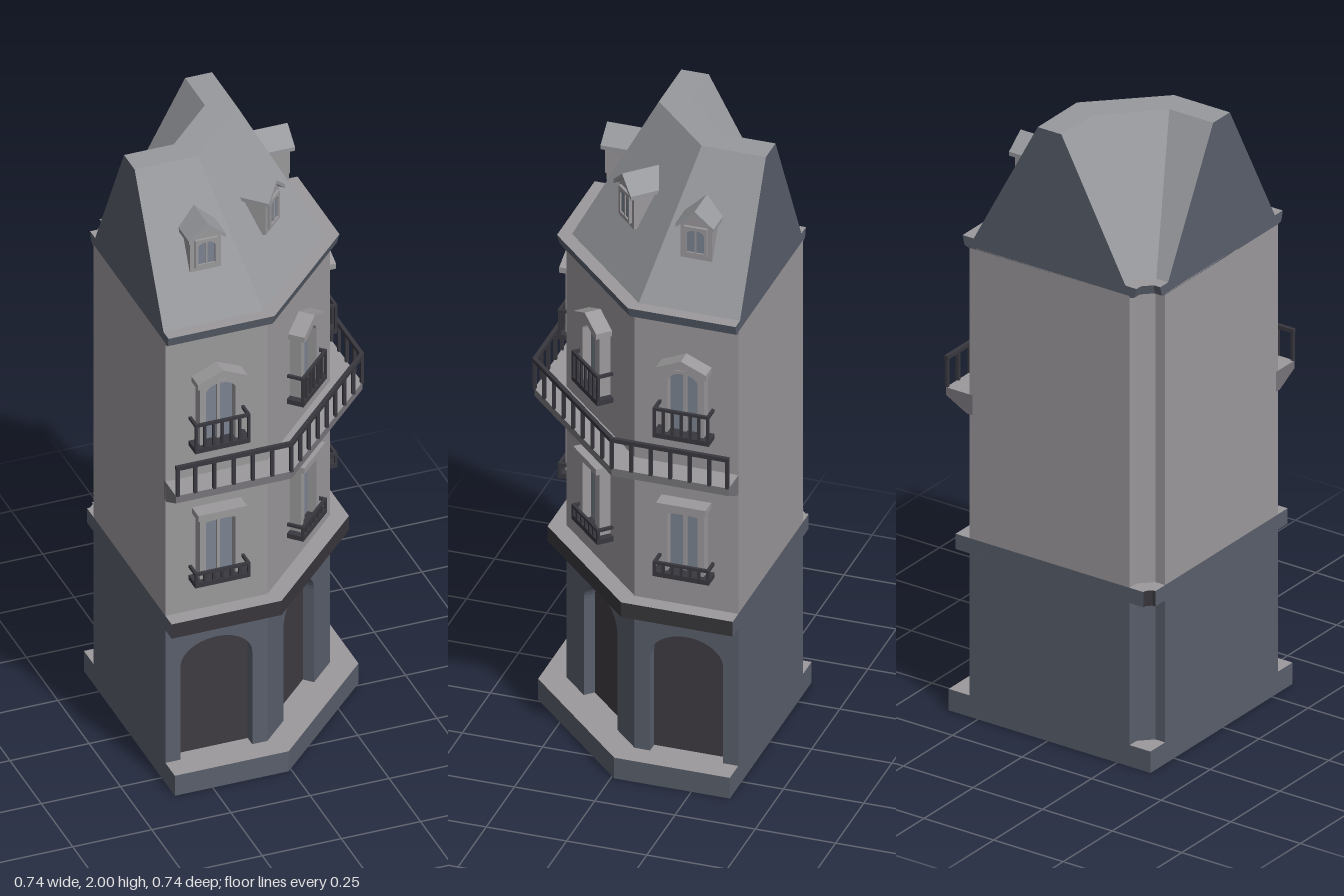
import * as THREE from 'three';

const mat = (name, color) => {
  const m = new THREE.MeshStandardMaterial({ color });
  m.name = name;
  m.flatShading = true;
  return m;
};

const BACK = -0.37; // plane of the two plain party walls
const corner = (a) => Math.max(BACK, -0.1875 + 0.5 * a);

// The four plan points of the line lying at distance a from the centre
const stations = (a) => [[BACK, a], [corner(a), a], [a, corner(a)], [a, BACK]];

export function createModel() {
  const wall = mat('wall stone', 0x9b999b);
  const roofing = mat('roof grey', 0x97999d);
  const slate = mat('slate blue', 0x595f6b);
  const dark = mat('dark ledge', 0x38363b);
  const doorMat = mat('door charcoal', 0x3f3c41);
  const glass = mat('window blue', 0x7b8391);
  const iron = mat('railing iron', 0x38383f);
  const balconyStone = mat('balcony stone', 0x77757a);

  const model = new THREE.Group();
  const add = (parent, name, geometry, material, x = 0, y = 0, z = 0) => {
    const mesh = new THREE.Mesh(geometry, material);
    mesh.name = name;
    mesh.position.set(x, y, z);
    parent.add(mesh);
    return mesh;
  };
  const box = (parent, name, material, w, h, d, x, y, z) =>
    add(parent, name, new THREE.BoxGeometry(w, h, d), material, x, y, z);

  // Sweep a profile of [distance, height] around the bent plan.
  // Order: outer bottom, outer top, inner top, inner bottom.
  function sweep(name, profile, side, cap = side, top = side) {
    const pos = [];
    const geo = new THREE.BufferGeometry();
    const P = (i, k) => {
      const [a, y] = profile[i % profile.length];
      const [x, z] = stations(a)[k];
      return [x, y, z];
    };
    const group = (start, index) => geo.addGroup(start, pos.length / 3 - start, index);
    for (let i = 0; i < profile.length; i++) {
      const [a0, y0] = profile[i], [a1, y1] = profile[(i + 1) % profile.length];
      const start = pos.length / 3;
      for (let k = 0; k < 3; k++) {
        const [A, B, C, D] = [P(i, k), P(i, k + 1), P(i + 1, k + 1), P(i + 1, k)];
        pos.push(...A, ...B, ...C, ...A, ...C, ...D);
      }
      group(start, y0 === y1 && a1 < a0 ? 2 : 0);
    }
    const start = pos.length / 3;
    for (let i = 1; i < profile.length - 1; i++) {
      pos.push(...P(0, 0), ...P(i, 0), ...P(i + 1, 0));
      pos.push(...P(0, 3), ...P(i + 1, 3), ...P(i, 3));
    }
    group(start, 1);
    geo.setAttribute('position', new THREE.Float32BufferAttribute(pos, 3));
    geo.computeVertexNormals();
    return add(model, name, geo, [side, cap, top]);
  }
  const band = (o, i, y0, y1) => [[o, y0], [o, y1], [i, y1], [i, y0]];

  // Main storeys, ledges and roof
  sweep('plinth', band(0.355, -0.37, 0, 0.07), slate, slate, wall);
  sweep('groundFloorCore', band(0.24, -0.295, 0.07, 0.535), slate);
  sweep('ledge', band(0.33, -0.345, 0.535, 0.585), dark, slate, wall);
  sweep('upperWalls', band(0.28, -0.295, 0.585, 1.54), wall);
  sweep('cornice', [[0.285, 1.535], [0.298, 1.54], [0.305, 1.57],
    [-0.32, 1.57], [-0.313, 1.54], [-0.3, 1.535]], slate, slate, wall);
  sweep('mansardRoof', [[0.265, 1.57], [0.035, 2], [-0.05, 2], [-0.28, 1.57]], roofing, slate, roofing);

  // Long balcony with its railing
  sweep('balconySlab', [[0.29, 0.99], [0.365, 1.03], [0.365, 1.055], [0.27, 1.055], [0.27, 0.99]],
    balconyStone, balconyStone, wall);
  sweep('balconyHandrail', band(0.37, 0.358, 1.145, 1.158), iron);
  const line = stations(0.364);
  [6, 8, 6].forEach((n, s) => {
    for (let i = s ? 1 : 0; i <= n; i++) {
      const t = i === 0 ? 0.015 : s === 2 && i === n ? 0.985 : i / n;
      const x = THREE.MathUtils.lerp(line[s][0], line[s + 1][0], t);
      const z = THREE.MathUtils.lerp(line[s][1], line[s + 1][1], t);
      box(model, 'balconyBaluster', iron, 0.01, 0.092, 0.01, x, 1.1, z);
    }
  });

  // Flat shapes drawn in a facade's plane
  const poly = (pts) => new THREE.Shape(pts.map(([x, y]) => new THREE.Vector2(x, y)));
  const extrude = (shape, depth) =>
    new THREE.ExtrudeGeometry(shape, { depth, bevelEnabled: false, curveSegments: 10 });
  function arched(path, w, y0, spring, rise) {
    path.moveTo(-w, y0);
    path.lineTo(w, y0);
    path.lineTo(w, spring);
    path.absellipse(0, spring, w, rise, 0, Math.PI, false, 0);
    path.lineTo(-w, y0);
    return path;
  }

  // Arched doorway set into the ground floor
  function doorway(f, width) {
    const w = width / 2, r = 0.1135;
    const panel = new THREE.Shape();
    panel.moveTo(-w, 0.07);
    panel.lineTo(-r, 0.07);
    panel.lineTo(-r, 0.395);
    panel.absellipse(0, 0.395, r, 0.08, Math.PI, 0, true, 0);
    panel.lineTo(r, 0.07);
    panel.lineTo(w, 0.07);
    panel.lineTo(w, 0.535);
    panel.lineTo(-w, 0.535);
    add(f, 'groundFloorFacade', extrude(panel, 0.045), slate, 0, 0, -0.045);
    const door = arched(new THREE.Shape(), r, 0.07, 0.395, 0.08);
    add(f, 'archedDoor', extrude(door, 0.007), doorMat, 0, 0, -0.043);
  }

  // Small iron balcony under a window
  function windowRail(f, y0, y1, n) {
    const w = 0.175, d = 0.053;
    box(f, 'windowBalconyFloor', iron, w, 0.016, d, 0, y0 + 0.008, d / 2);
    box(f, 'windowHandrail', iron, w, 0.009, 0.009, 0, y1 - 0.0045, d - 0.0045);
    for (const s of [-1, 1]) {
      box(f, 'windowSideRail', iron, 0.009, 0.009, d, s * (w / 2 - 0.0045), y1 - 0.0045, d / 2);
    }
    for (let i = 0; i < n; i++) {
      const x = (i / (n - 1) - 0.5) * (w - 0.009);
      box(f, 'windowBaluster', iron, 0.008, y1 - y0 - 0.01, 0.008, x, (y0 + y1) / 2, d - 0.0045);
    }
  }

  // Tall window: surround, two panes and centre bar
  function tallWindow(f, y0, spring, rise, top) {
    const frame = poly([[-0.066, y0], [0.066, y0], [0.066, top], [-0.066, top]]);
    frame.holes.push(arched(new THREE.Path(), 0.047, y0 + 0.01, spring, rise));
    add(f, 'windowSurround', extrude(frame, 0.036), wall);
    const pane = arched(new THREE.Shape(), 0.047, y0 + 0.01, spring, rise);
    add(f, 'windowPanes', extrude(pane, 0.006), glass, 0, 0, 0.002);
    const h = spring + rise - y0 - 0.012;
    box(f, 'windowBar', wall, 0.01, h, 0.012, 0, y0 + 0.01 + h / 2, 0.01);
  }

  // Gabled dormer emerging from the roof slope
  function dormer(f) {
    const body = poly([[-0.049, 1.71], [0.049, 1.71], [0.049, 1.83], [0, 1.868], [-0.049, 1.83]]);
    add(f, 'dormerBody', extrude(body, 0.1), wall, 0, 0, -0.185);
    const cover = poly([[-0.059, 1.829], [-0.059, 1.816], [0, 1.864], [0.059, 1.816], [0.059, 1.829], [0, 1.878]]);
    add(f, 'dormerRoof', extrude(cover, 0.125), roofing, 0, 0, -0.195);
    const rim = poly([[-0.036, 1.725], [0.036, 1.725], [0.036, 1.82], [-0.036, 1.82]]);
    rim.holes.push(arched(new THREE.Path(), 0.027, 1.735, 1.795, 0.015));
    add(f, 'dormerSurround', extrude(rim, 0.009), wall, 0, 0, -0.085);
    box(f, 'dormerPane', glass, 0.056, 0.08, 0.004, 0, 1.774, -0.083);
    box(f, 'dormerBar', wall, 0.006, 0.076, 0.008, 0, 1.772, -0.082);
  }

  // Three street facades: front, chamfered corner, side
  const facades = [
    ['frontFacade', -0.209, 0.28, 0, 0.3225],
    ['cornerFacade', 0.11625, 0.11625, Math.PI / 4, 0.463],
    ['sideFacade', 0.28, -0.209, Math.PI / 2, 0.3225],
  ];
  for (const [name, x, z, turn, width] of facades) {
    const f = new THREE.Group();
    f.name = name;
    f.position.set(x, 0, z);
    f.rotation.y = turn;
    model.add(f);
    doorway(f, width);

    // First floor: straight lintel
    tallWindow(f, 0.7, 0.905, 0.004, 0.925);
    box(f, 'lintel', wall, 0.155, 0.02, 0.052, 0, 0.935, 0.026);
    windowRail(f, 0.695, 0.745, 7);

    // Second floor: arched light under a low gable
    tallWindow(f, 1.17, 1.355, 0.03, 1.395);
    const pediment = poly([[-0.078, 1.385], [-0.06, 1.385], [0, 1.413], [0.06, 1.385],
      [0.078, 1.385], [0.078, 1.403], [0, 1.437], [-0.078, 1.403]]);
    add(f, 'pediment', extrude(pediment, 0.052), wall);
    const infill = poly([[-0.064, 1.385], [0.064, 1.385], [0, 1.42]]);
    add(f, 'pedimentInfill', extrude(infill, 0.034), wall);
    windowRail(f, 1.165, 1.265, 7);

    dormer(f);
  }
  return model;
}
